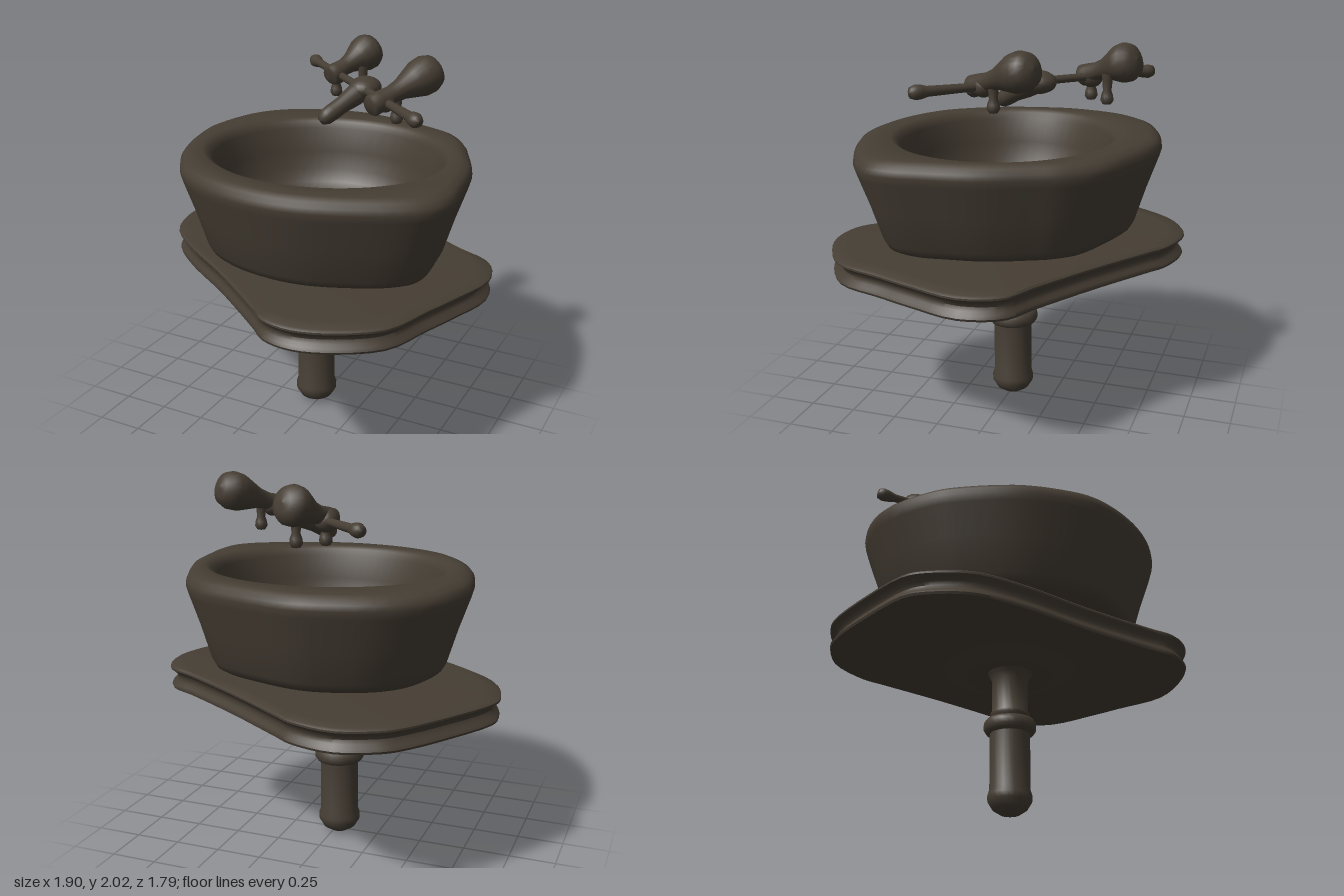
import * as THREE from 'three';
import { toCreasedNormals } from 'three/addons/utils/BufferGeometryUtils.js';

const bronze = new THREE.MeshStandardMaterial({ color: 0x463e34 });
bronze.name = 'dark bronze';

const V = (x, y, z) => new THREE.Vector3(x, y, z);

function part(name, geometry) {
  const mesh = new THREE.Mesh(geometry, bronze);
  mesh.name = name;
  return mesh;
}

// Smooth closed outline sampled from [x, z] pairs
function outline(pairs, n = 80) {
  const curve = new THREE.CatmullRomCurve3(pairs.map(([x, z]) => V(x, 0, z)), true, 'centripetal');
  return curve.getPoints(n).slice(0, n);
}

// Skin a stack of closed rings (outside facing away from the axis when going up)
function loft(rings, crease) {
  const n = rings[0].length;
  const pos = rings.flatMap(r => r.flatMap(p => [p.x, p.y, p.z]));
  const index = [];
  for (let k = 0; k < rings.length - 1; k++) {
    for (let i = 0; i < n; i++) {
      const a = k * n + i, b = k * n + (i + 1) % n;
      index.push(a, a + n, b, b, a + n, b + n);
    }
  }
  const g = new THREE.BufferGeometry();
  g.setAttribute('position', new THREE.Float32BufferAttribute(pos, 3));
  g.setIndex(index);
  return toCreasedNormals(g, crease);
}

// Turned shape from a to b; profile is [fraction along, radius]
function turned(name, a, b, profile, segments = 20) {
  const dir = b.clone().sub(a), len = dir.length();
  const pts = profile.map(([t, r]) => new THREE.Vector2(r, t * len));
  const mesh = part(name, new THREE.LatheGeometry(pts, segments));
  mesh.position.copy(a);
  mesh.quaternion.setFromUnitVectors(V(0, 1, 0), dir.normalize());
  return mesh;
}

function ball(name, p, r, sx = 1, sy = 1, sz = 1) {
  const mesh = part(name, new THREE.SphereGeometry(r, 20, 14));
  mesh.position.copy(p);
  mesh.scale.set(sx, sy, sz);
  return mesh;
}

// Turned slab with a hollow moulded edge
function makeCounter() {
  const edge = outline([
    [-0.94, -0.12], [-0.94, -0.23], [-0.8, -0.49], [-0.6, -0.77], [-0.5, -0.84], [-0.32, -0.9],
    [-0.09, -0.85], [0.02, -0.78], [0.36, -0.56], [0.7, -0.36], [0.88, -0.26], [0.95, -0.05],
    [0.87, 0.23], [0.8, 0.42], [0.7, 0.68], [0.47, 0.84], [0.29, 0.89], [0.13, 0.86],
    [0.02, 0.77], [-0.33, 0.5], [-0.68, 0.26], [-0.87, 0.08]]);
  const levels = [[0.82, 0.001], [0.82, 0.97], [0.823, 0.99], [0.835, 0.995], [0.85, 0.985],
    [0.865, 0.965], [0.885, 0.957], [0.905, 0.965], [0.92, 0.985], [0.93, 1], [0.94, 1],
    [0.95, 0.985], [0.955, 0.9], [0.955, 0.001]];
  return part('counter', loft(levels.map(([y, s]) => edge.map(p => V(p.x * s, y, p.z * s))), 0.7));
}

// Thick bowl: outer wall, rolled rim, then the inner basin
function makeBowl() {
  const rim = outline([
    [-0.77, -0.18], [-0.69, -0.49], [-0.51, -0.67], [-0.23, -0.77], [-0.05, -0.79], [0.29, -0.71],
    [0.51, -0.62], [0.64, -0.48], [0.7, -0.36], [0.81, -0.1], [0.85, 0.15], [0.865, 0.31],
    [0.84, 0.44], [0.75, 0.54], [0.47, 0.68], [0.24, 0.75], [0.02, 0.76], [-0.23, 0.71],
    [-0.46, 0.59], [-0.58, 0.45], [-0.69, 0.25], [-0.76, -0.03]]);
  const cx = 0.045, cz = -0.01;
  const outer = [[0.96, 0.001], [0.96, 0.55], [0.985, 0.66], [1.015, 0.77], [1.035, 0.815],
    [1.07, 0.84], [1.25, 0.91], [1.42, 0.985], [1.46, 1], [1.49, 0.995], [1.515, 0.97], [1.53, 0.92]];
  const inner = [[1.53, 1.06], [1.515, 1.01], [1.48, 0.98], [1.35, 0.94], [1.25, 0.9],
    [1.18, 0.84], [1.13, 0.74], [1.11, 0.6], [1.1, 0.3], [1.1, 0.001]];
  const rings = outer.map(([y, s]) => rim.map(p => V(cx + (p.x - cx) * s, y, cz + (p.z - cz) * s)));
  inner.forEach(([y, s]) => rings.push(rim.map(p => {
    const a = Math.atan2(p.z - cz, p.x - cx);
    return V(cx + Math.cos(a) * 0.63 * s, y, 0.005 + Math.sin(a) * 0.56 * s);
  })));
  return part('bowl', loft(rings, 0.9));
}

// Drain pipe with its collar and rounded foot
function makeDrain() {
  const group = new THREE.Group();
  group.name = 'drain';
  const profile = [[0, 0], [0.05, 0.004], [0.09, 0.03], [0.114, 0.07], [0.115, 0.1], [0.105, 0.13],
    [0.105, 0.425], [0.125, 0.432], [0.137, 0.45], [0.137, 0.48], [0.125, 0.5], [0.095, 0.51],
    [0.102, 0.525], [0.102, 0.54], [0.095, 0.55], [0.095, 0.72], [0.11, 0.75], [0.13, 0.78]];
  const pipe = part('drainPipe', toCreasedNormals(new THREE.LatheGeometry(
    profile.map(([r, y]) => new THREE.Vector2(r, y)), 24), 0.8));
  pipe.position.set(-0.025, 0.005, -0.008);
  const boss = part('counterBoss', new THREE.LatheGeometry(
    [[0, 0.768], [0.2, 0.77], [0.27, 0.785], [0.36, 0.822]].map(([r, y]) => new THREE.Vector2(r, y)), 32));
  boss.position.set(0.04, 0, -0.03);
  group.add(pipe, boss);
  return group;
}

// Cross bar, two club-shaped handles, hub and spout
function makeTap() {
  const group = new THREE.Group();
  group.name = 'tap';
  const a = V(-0.37, 1.825, -0.665), b = V(0.65, 1.825, 0.275);
  group.add(turned('crossBar', a, b, [[-0.015, 0], [-0.01, 0.028], [0.01, 0.036], [0.03, 0.033],
    [0.06, 0.023], [0.2, 0.02], [0.8, 0.022], [0.94, 0.026], [0.965, 0.035], [0.985, 0.037],
    [1.005, 0.027], [1.012, 0]]));

  const club = [[0, 0], [0.005, 0.045], [0.04, 0.056], [0.14, 0.054], [0.3, 0.046], [0.45, 0.054],
    [0.6, 0.078], [0.72, 0.097], [0.84, 0.1], [0.93, 0.084], [0.98, 0.05], [1, 0]];
  group.add(turned('rightHandle', V(-0.12, 1.82, -0.35), V(0.01, 1.94, -0.67), club));
  group.add(turned('leftHandle', V(0.325, 1.81, 0.1), V(0.53, 1.95, -0.29), club));
  group.add(ball('rightHandleJoint', V(-0.11, 1.825, -0.41), 0.06));
  group.add(ball('leftHandleJoint', V(0.37, 1.825, 0.015), 0.055));

  // Small pegs under the handles
  [[-0.105, -0.41], [0.005, -0.52], [0.41, -0.05]].forEach(([x, z]) => {
    group.add(turned('peg', V(x, 1.7, z), V(x, 1.86, z),
      [[0, 0], [0.03, 0.022], [0.15, 0.034], [0.3, 0.031], [0.45, 0.022], [0.75, 0.026], [1, 0.03]], 14));
  });

  group.add(ball('hub', V(0.165, 1.825, -0.2), 0.085, 1, 0.7, 1.15));
  group.add(turned('spout', V(0.17, 1.83, -0.2), V(0.04, 1.7, 0.035),
    [[0, 0.06], [0.3, 0.055], [0.6, 0.044], [0.8, 0.045], [0.95, 0.042], [1.05, 0.028], [1.08, 0]]));
  return group;
}

export function createModel() {
  const model = new THREE.Group();
  model.name = 'washbasin';
  model.add(makeCounter(), makeBowl(), makeDrain(), makeTap());
  return model;
}
